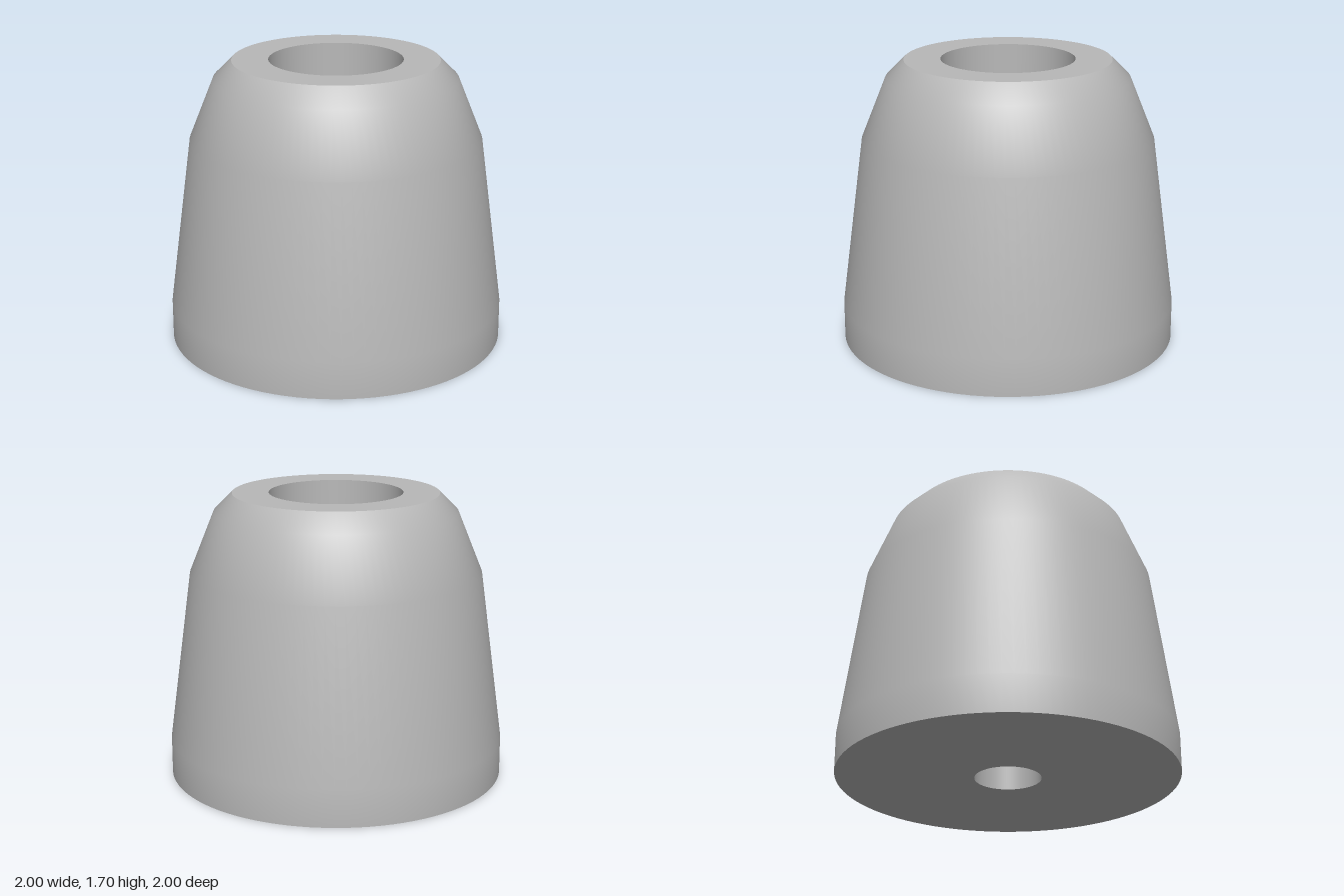
import * as THREE from 'three';

const SEGMENTS = 96;

export function createModel() {
  const group = new THREE.Group();
  group.name = 'bumperFoot';

  const grey = new THREE.MeshStandardMaterial({ color: 0xb8b8b8 });
  grey.name = 'grey rubber';

  // Each surface is its own lathe, so the rims between them stay sharp
  const turn = (name, profile) => {
    const points = profile.map(([r, y]) => new THREE.Vector2(r, y));
    const mesh = new THREE.Mesh(new THREE.LatheGeometry(points, SEGMENTS), grey);
    mesh.name = name;
    group.add(mesh);
  };

  const height = 1.7, baseRadius = 1, topRadius = 0.61;
  const recessRadius = 0.395, recessFloor = 0.6, holeRadius = 0.195;

  // Profiles run counter-clockwise around the section, facing outward
  turn('underside', [[holeRadius, 0], [baseRadius, 0]]);
  turn('outerWall', [[baseRadius, 0], [baseRadius, 0.22], [0.865, 1.23], [0.72, 1.59], [topRadius, height]]);
  turn('topRim', [[topRadius, height], [recessRadius, height]]);
  turn('recessWall', [[recessRadius, height], [recessRadius, recessFloor]]);
  turn('recessFloor', [[recessRadius, recessFloor], [holeRadius, recessFloor]]);
  turn('screwHole', [[holeRadius, recessFloor], [holeRadius, 0]]);

  return group;
}
